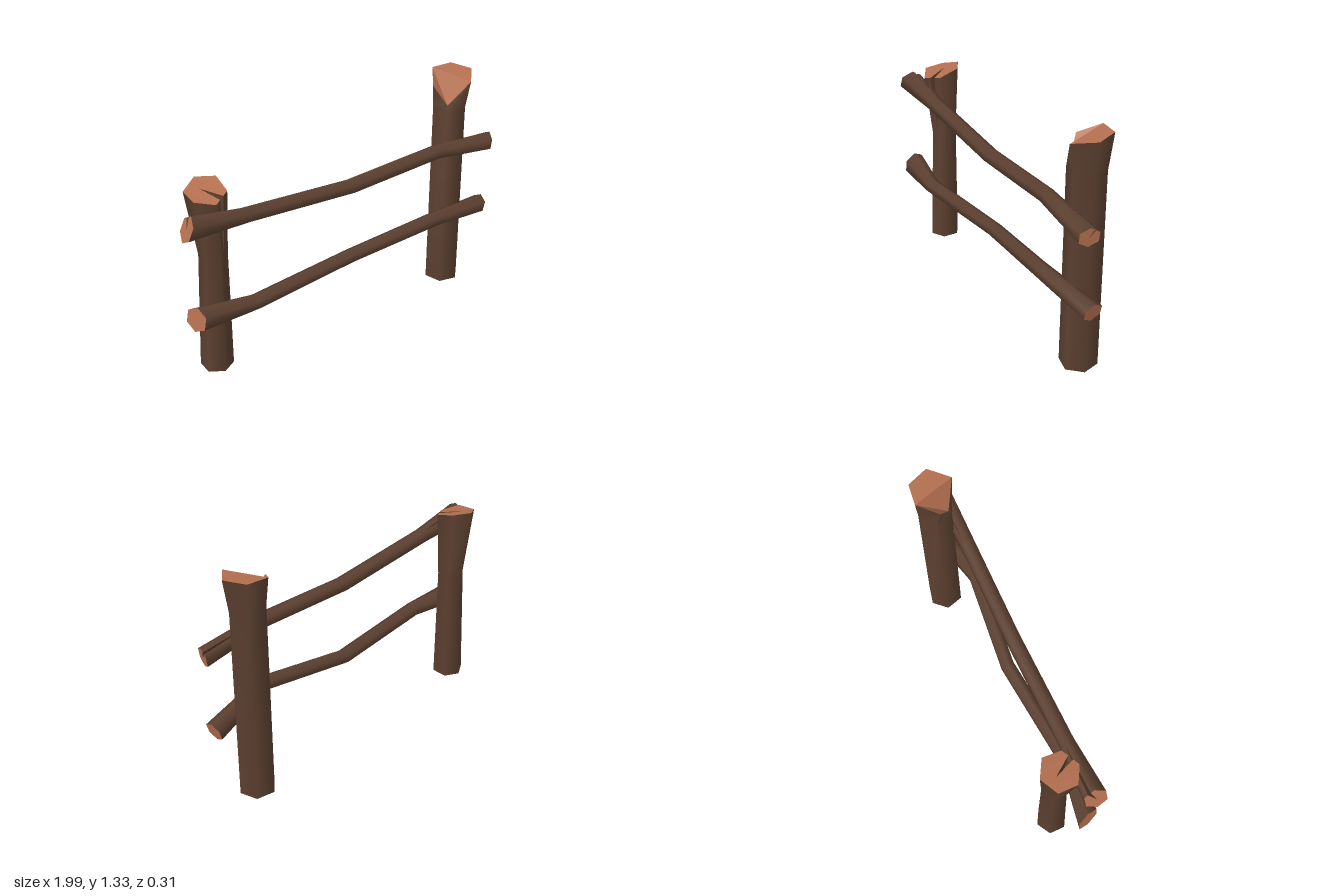
import * as THREE from 'three';
import { toCreasedNormals } from 'three/addons/utils/BufferGeometryUtils.js';

const bark = new THREE.MeshStandardMaterial({ color: 0x5c4030 });
bark.name = 'bark';
const cutWood = new THREE.MeshStandardMaterial({ color: 0xb4704f });
cutWood.name = 'cut wood';

const lerp = (a, b, t) => a.map((v, i) => v + (b[i] - v) * t);

// Six points of a section; place(c, s, i) turns cosine and sine into a position
function hexagon(startDegrees, place) {
  return Array.from({ length: 6 }, (_, i) => {
    const t = THREE.MathUtils.degToRad(startDegrees + i * 60);
    return place(Math.cos(t), Math.sin(t), i);
  });
}

// Adds a wedge-shaped split to the first side of a section (zero width = closed)
function split(ring, width, depth) {
  const [a, b] = ring;
  const middle = lerp(a, b, 0.5);
  const opposite = lerp(ring[3], ring[4], 0.5);
  return [a, lerp(a, b, 0.5 - width), lerp(middle, opposite, depth), lerp(a, b, 0.5 + width), ...ring.slice(1)];
}

function geometryFrom(points, triangles) {
  const g = new THREE.BufferGeometry();
  g.setAttribute('position', new THREE.Float32BufferAttribute(points.flat(), 3));
  g.setIndex(triangles);
  return g;
}

// End face as a fan around one corner
function cap(ring, pivot, flip) {
  const n = ring.length;
  const tri = [];
  for (let k = 1; k < n - 1; k++) {
    const b = (pivot + k) % n, c = (pivot + k + 1) % n;
    tri.push(pivot, ...(flip ? [c, b] : [b, c]));
  }
  return toCreasedNormals(geometryFrom(ring, tri), 0.3);
}

// A log: smooth bark skin through the sections plus two end faces
function makeLog(name, rings, startMaterial, pivot) {
  const n = rings[0].length;
  const tri = [];
  for (let k = 0; k < rings.length - 1; k++) {
    for (let i = 0; i < n; i++) {
      const j = (i + 1) % n;
      const a = k * n + i, b = k * n + j;
      tri.push(a, b, b + n, a, b + n, a + n);
    }
  }
  const group = new THREE.Group();
  group.name = name;
  const add = (part, geometry, material) => {
    const mesh = new THREE.Mesh(geometry, material);
    mesh.name = name + part;
    group.add(mesh);
  };
  add('Bark', toCreasedNormals(geometryFrom(rings.flat(), tri), 1.2), bark);
  add('StartEnd', cap(rings[0], pivot, true), startMaterial);
  add('FarEnd', cap(rings[rings.length - 1], pivot, false), cutWood);
  return group;
}

// Horizontal section of a post; heights may differ per corner
const postRing = (x, z, r, y, start) =>
  hexagon(start, (c, s, i) => [x + r * s, Array.isArray(y) ? y[i] : y, z + r * c]);

// Upright section of a rail; ky and kz slant the cut
const railRing = (x, y, z, r, ky = 0, kz = 0) =>
  hexagon(-60, (c, s) => [x + r * (ky * c + kz * s), y + r * c, z + r * s]);

export function createModel() {
  const model = new THREE.Group();
  model.name = 'fence';

  // Short post with a split running down from its top
  model.add(makeLog('shortPost', [
    split(postRing(-0.797, -0.047, 0.09, 0, 0), 0, 0),
    split(postRing(-0.775, -0.05, 0.076, 0.7, 0), 0, 0),
    split(postRing(-0.795, -0.05, 0.11, [1.05, 1.075, 1.11, 1.11, 1.08, 1.07], 0), 0.14, 0.68),
  ], bark, 2));

  // Tall post with a chipped front corner
  model.add(makeLog('tallPost', [
    postRing(0.762, -0.035, 0.103, 0, 17),
    postRing(0.762, -0.042, 0.101, 1.13, 17),
    [
      [0.80, 1.305, 0.085], [0.89, 1.325, -0.02], [0.84, 1.33, -0.14],
      [0.72, 1.325, -0.155], [0.645, 1.27, -0.05], [0.70, 1.16, 0.015],
    ],
  ], bark, 3));

  // Upper rail, split at both ends
  model.add(makeLog('upperRail', [
    split(railRing(-0.97, 0.975, 0.07, 0.066, 0.45, -0.1), 0.14, 0.6),
    split(railRing(-0.64, 0.944, 0.068, 0.045), 0, 0),
    split(railRing(0.01, 0.897, 0.066, 0.044), 0, 0),
    split(railRing(0.58, 0.928, 0.068, 0.044), 0, 0),
    split(railRing(0.97, 0.887, 0.07, 0.055, 0.15, -0.3), 0.12, 0.6),
  ], cutWood, 2));

  // Lower rail, bowed towards the front at its knees
  model.add(makeLog('lowerRail', [
    railRing(-0.96, 0.43, 0.075, 0.07, 0.18, 0.32),
    railRing(-0.63, 0.432, 0.112, 0.044),
    railRing(0.02, 0.44, 0.047, 0.042),
    railRing(0.57, 0.513, 0.1, 0.044),
    railRing(0.97, 0.45, 0.03, 0.056, 0.28, 0.05),
  ], cutWood, 0));

  return model;
}
